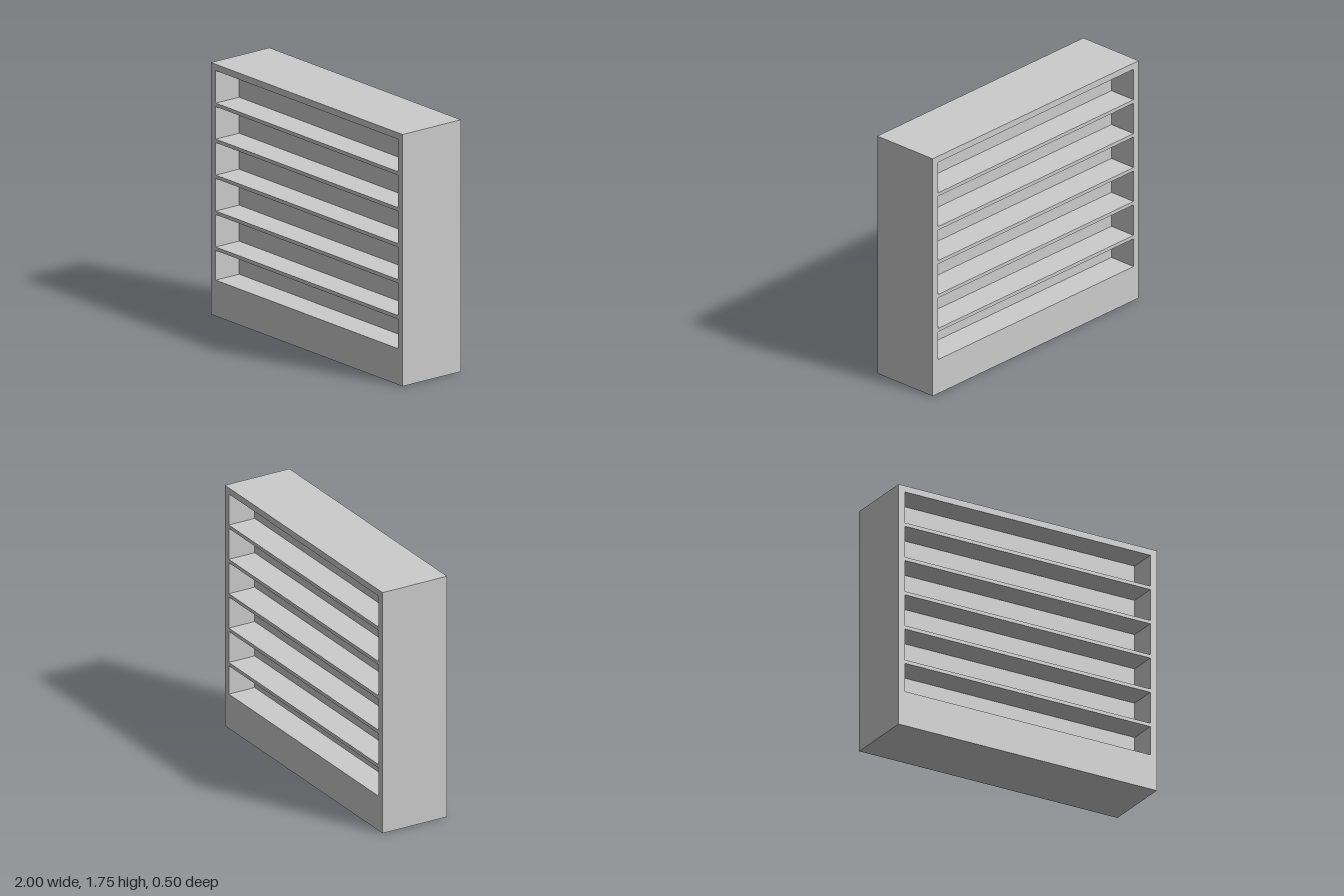
import * as THREE from 'three';

const W = 2, H = 1.75, D = 0.5;      // overall size
const INNER = 0.95;                  // half width of the openings
const BAYS = 6, PITCH = 0.25, SHELF = 0.025;
const TOP = 1.705, FLOOR = 0.25;     // top of highest bay, floor of lowest
const PANEL = 0.1;                   // thickness of the central divider

// Counter-clockwise rectangle points
function rect(x0, y0, x1, y1) {
  return [[x0, y0], [x1, y0], [x1, y1], [x0, y1]].map(([x, y]) => new THREE.Vector2(x, y));
}

export function createModel() {
  const group = new THREE.Group();
  group.name = 'doubleSidedShelfUnit';
  const material = new THREE.MeshStandardMaterial({ color: 0xcccccc });

  const outline = new THREE.Shape(rect(-W / 2, 0, W / 2, H));

  for (let i = 0; i < BAYS; i++) {
    const top = TOP - i * PITCH;
    const bottom = Math.max(FLOOR, top - PITCH + SHELF);
    outline.holes.push(new THREE.Path(rect(-INNER, bottom, INNER, top).reverse()));

    // Divider closing the bay midway, leaving a recess on front and back
    const divider = new THREE.Mesh(
      new THREE.BoxGeometry(INNER * 2, top - bottom, PANEL), material);
    divider.position.y = (top + bottom) / 2;
    divider.name = `dividerPanel${i + 1}`;
    group.add(divider);
  }

  // Sides, top, plinth and shelves as one frame
  const frameGeometry = new THREE.ExtrudeGeometry(outline, { depth: D, bevelEnabled: false });
  frameGeometry.translate(0, 0, -D / 2);
  const frame = new THREE.Mesh(frameGeometry, material);
  frame.name = 'shelfFrame';
  group.add(frame);

  return group;
}
